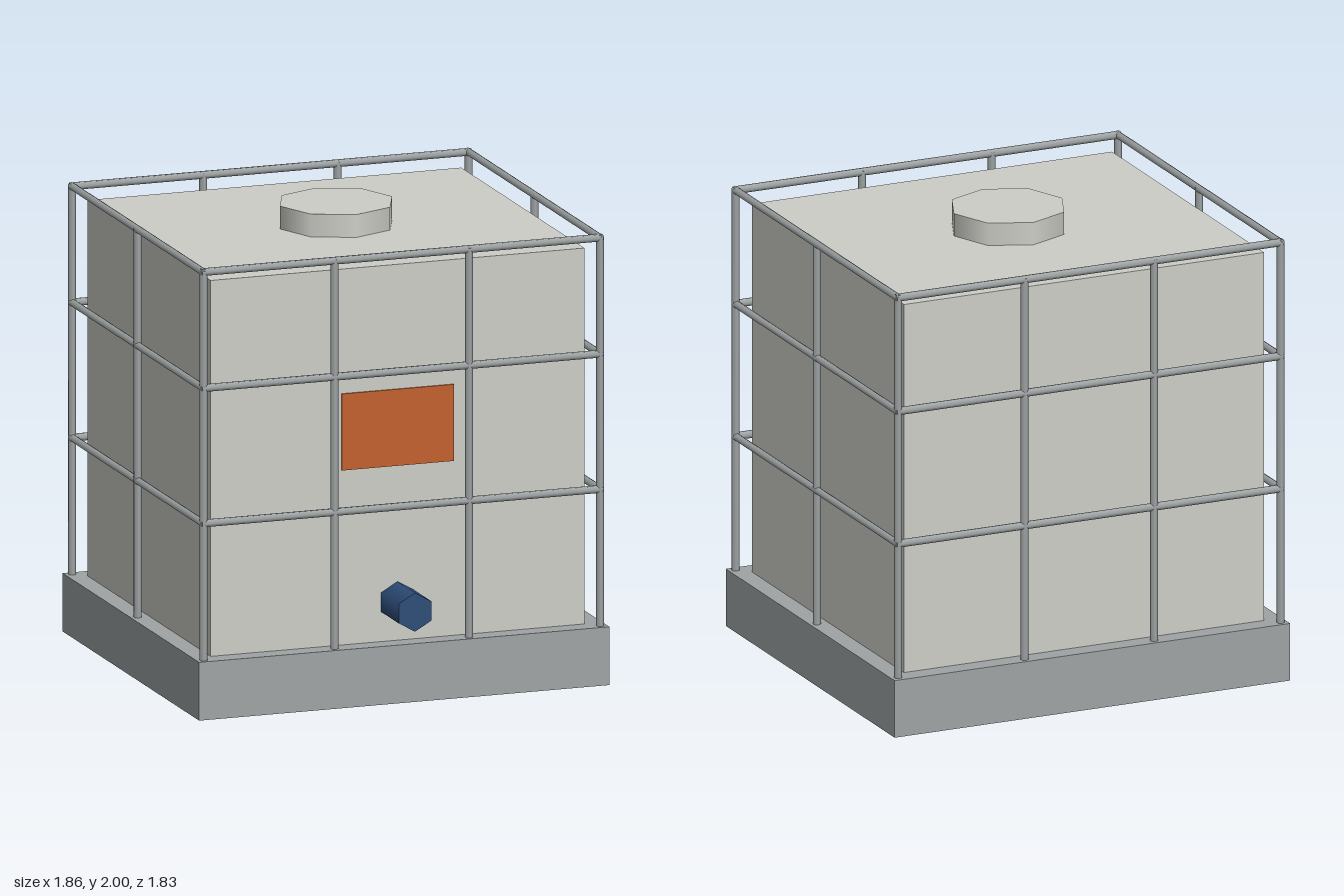
import * as THREE from 'three';

export function createModel() {
  const model = new THREE.Group();
  model.name = 'cagedTank';
  const mat = (name, color) => {
    const m = new THREE.MeshStandardMaterial({ color });
    m.name = name;
    return m;
  };
  const plastic = mat('offWhitePlastic', 0xcecec8);
  const metal = mat('greyMetal', 0x9fa4a4);
  const orange = mat('orangeLabel', 0xc4602c);
  const blue = mat('blueValve', 0x2c4c78);

  const CZ = -0.068; // centre of the tank in z; the valve sticks out in front
  const add = (name, geo, material, x, y, z, parent = model) => {
    const mesh = new THREE.Mesh(geo, material);
    mesh.name = name;
    mesh.position.set(x, y, z);
    parent.add(mesh);
    return mesh;
  };

  // Pallet, tank body and lid
  add('pallet', new THREE.BoxGeometry(1.856, 0.255, 1.695), metal, 0, 0.1275, CZ);
  add('tank', new THREE.BoxGeometry(1.69, 1.645, 1.527), plastic, 0, 1.0775, CZ);
  add('lid', new THREE.CylinderGeometry(0.254, 0.254, 0.1, 8), plastic, 0, 1.95, CZ);

  // Label plate and outlet valve on the front
  add('label', new THREE.BoxGeometry(0.506, 0.335, 0.008), orange, 0, 1.1875, 0.699);
  const valve = add('valve', new THREE.CylinderGeometry(0.085, 0.085, 0.22, 6), blue, 0, 0.427, 0.803);
  valve.rotation.x = Math.PI / 2;

  // Tubular cage
  const cage = new THREE.Group();
  cage.name = 'cage';
  model.add(cage);
  const R = 0.0172, HX = 0.897, HZ = 0.815;
  const bar = (name, length, axis, x, y, z) => {
    const b = add(name, new THREE.CylinderGeometry(R, R, length, 6), metal, x, y, z, cage);
    if (axis === 'x') b.rotation.z = Math.PI / 2;
    if (axis === 'z') b.rotation.x = Math.PI / 2;
  };

  // Posts: four across the front and back, one in the middle of each side
  const postLength = 1.71, postY = 0.25 + postLength / 2;
  for (const s of [-1, 1]) {
    for (const x of [-HX, -0.304, 0.304, HX]) bar('post', postLength, 'y', x, postY, CZ + s * HZ);
    bar('sidePost', postLength, 'y', s * HX, postY, CZ);
  }

  // Three rings of horizontal rails
  for (const y of [0.853, 1.445, 1.953]) {
    for (const s of [-1, 1]) {
      bar('rail', 2 * HX + 0.02, 'x', 0, y, CZ + s * HZ);
      bar('sideRail', 2 * HZ + 0.02, 'z', s * HX, y, CZ);
    }
  }
  return model;
}
